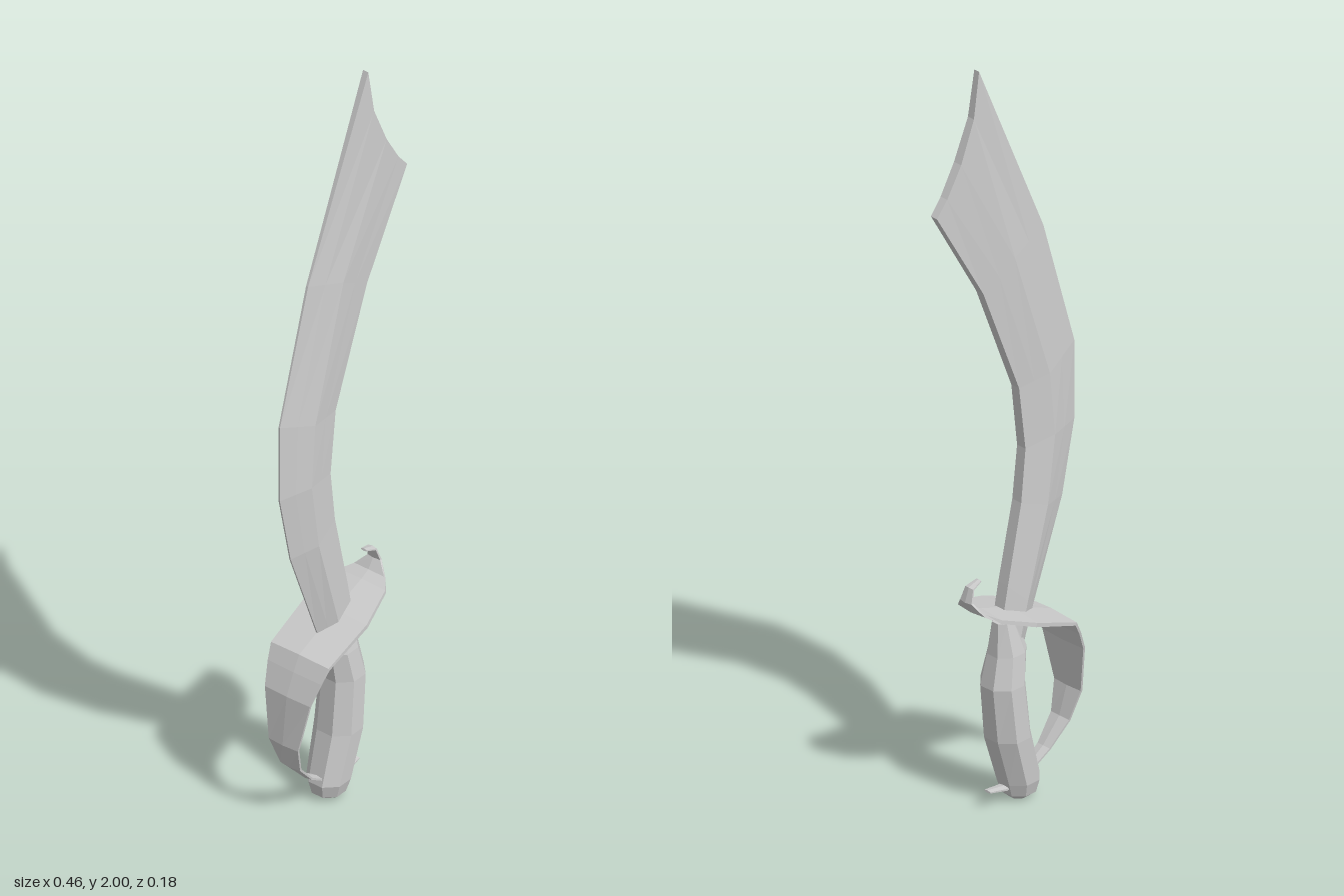
import * as THREE from 'three';

// Skin a row of closed rings (counter-clockwise about the sweep) and cap both ends.
function loft(rings) {
  const pos = [], n = rings[0].length;
  const quad = (a, b, c, d) => pos.push(...a, ...b, ...c, ...a, ...c, ...d);
  for (let i = 0; i < rings.length - 1; i++) {
    const p = rings[i], q = rings[i + 1];
    for (let j = 0; j < n; j++) {
      const k = (j + 1) % n;
      quad(p[j], p[k], q[k], q[j]);
    }
  }
  const first = rings[0], last = rings[rings.length - 1];
  for (let k = 0; k < n / 2 - 1; k++) {
    quad(first[n - 1 - k], first[n - 2 - k], first[k + 1], first[k]);
    quad(last[k], last[k + 1], last[n - 2 - k], last[n - 1 - k]);
  }
  const geo = new THREE.BufferGeometry();
  geo.setAttribute('position', new THREE.Float32BufferAttribute(pos, 3));
  geo.computeVertexNormals();
  return geo;
}

const mid = (a, b) => a.map((v, i) => (v + b[i]) / 2);

// Curved blade: sharp edge, raised ridge and flat spine at each station, as [x, y, half thickness].
function bladeGeometry() {
  const stations = [
    [[-0.06, 0.39, 0.004], [-0.025, 0.41, 0.027], [0.025, 0.46, 0.016]],
    [[-0.10, 0.50, 0.002], [-0.055, 0.53, 0.028], [0.00, 0.585, 0.016]],
    [[-0.193, 0.75, 0.002], [-0.12, 0.76, 0.028], [-0.045, 0.79, 0.015]],
    [[-0.233, 0.94, 0.002], [-0.145, 0.94, 0.027], [-0.06, 0.93, 0.014]],
    [[-0.233, 1.15, 0.002], [-0.13, 1.11, 0.025], [-0.04, 1.10, 0.013]],
    [[-0.13, 1.50, 0.003], [-0.02, 1.46, 0.02], [0.077, 1.40, 0.012]],
    [[0.087, 2.00, 0.008], [0.15, 1.775, 0.012], [0.228, 1.66, 0.01]],
  ];
  return loft(stations.map(([edge, ridge, spine], i) => {
    const tip = i === stations.length - 1; // scooped tip
    const m1 = tip ? [0.106, 1.88, 0.01] : mid(edge, ridge);
    const m2 = tip ? [0.195, 1.70, 0.011] : mid(ridge, spine);
    const side = [edge, m1, ridge, m2, spine];
    return [...side, ...side.slice().reverse().map(([x, y, z]) => [x, y, -z])];
  }));
}

// Octagonal bent grip with a rounded pommel: [x, y, half width, half depth].
function gripGeometry() {
  const rows = [
    [-0.05, 0.0, 0.022, 0.022],
    [-0.052, 0.015, 0.04, 0.04],
    [-0.05, 0.05, 0.05, 0.05],
    [-0.013, 0.18, 0.053, 0.056],
    [0.002, 0.325, 0.052, 0.052],
    [-0.012, 0.405, 0.048, 0.042],
    [0.0, 0.49, 0.026, 0.024],
  ];
  return loft(rows.map(([x, y, hx, hz]) => Array.from({ length: 8 }, (_, j) => {
    const a = (j + 0.5) * Math.PI / 4, s = 1 / Math.cos(Math.PI / 8);
    return [x + Math.sin(a) * hx * s, y, Math.cos(a) * hz * s];
  })));
}

// Guard plate running from the curled tip, across the hilt and down the knuckle bow:
// [x, y, half width, thickness].
function guardGeometry() {
  const path = [
    [0.08, 0.627, 0.008, 0.006],
    [0.11, 0.617, 0.013, 0.009],
    [0.12, 0.585, 0.019, 0.012],
    [0.102, 0.556, 0.045, 0.014],
    [0.075, 0.54, 0.07, 0.018],
    [-0.02, 0.503, 0.092, 0.022],
    [-0.155, 0.45, 0.087, 0.016],
    [-0.175, 0.415, 0.08, 0.012],
    [-0.2, 0.36, 0.068, 0.012],
    [-0.215, 0.23, 0.044, 0.012],
    [-0.19, 0.155, 0.03, 0.011],
    [-0.135, 0.095, 0.02, 0.01],
    [-0.085, 0.062, 0.016, 0.01],
    [0.0, 0.037, 0.015, 0.01],
    [0.052, 0.047, 0.01, 0.006],
  ];
  return loft(path.map(([x, y, w, t], i) => {
    const a = path[Math.max(i - 1, 0)], b = path[Math.min(i + 1, path.length - 1)];
    const dx = b[0] - a[0], dy = b[1] - a[1], len = Math.hypot(dx, dy);
    const at = (n, z) => [x - dy / len * n, y + dx / len * n, z];
    const h = t / 2, e = t / 4; // thinner at the rims
    return [at(h, 0), at(e, w), at(-e, w), at(-h, 0), at(-e, -w), at(e, -w)];
  }));
}

export function createModel() {
  const group = new THREE.Group();
  group.name = 'sabre';
  const material = new THREE.MeshStandardMaterial({ color: 0xcccccc, flatShading: true });
  const parts = { blade: bladeGeometry(), grip: gripGeometry(), guard: guardGeometry() };
  for (const [name, geometry] of Object.entries(parts)) {
    const mesh = new THREE.Mesh(geometry, material);
    mesh.name = name;
    group.add(mesh);
  }
  return group;
}
